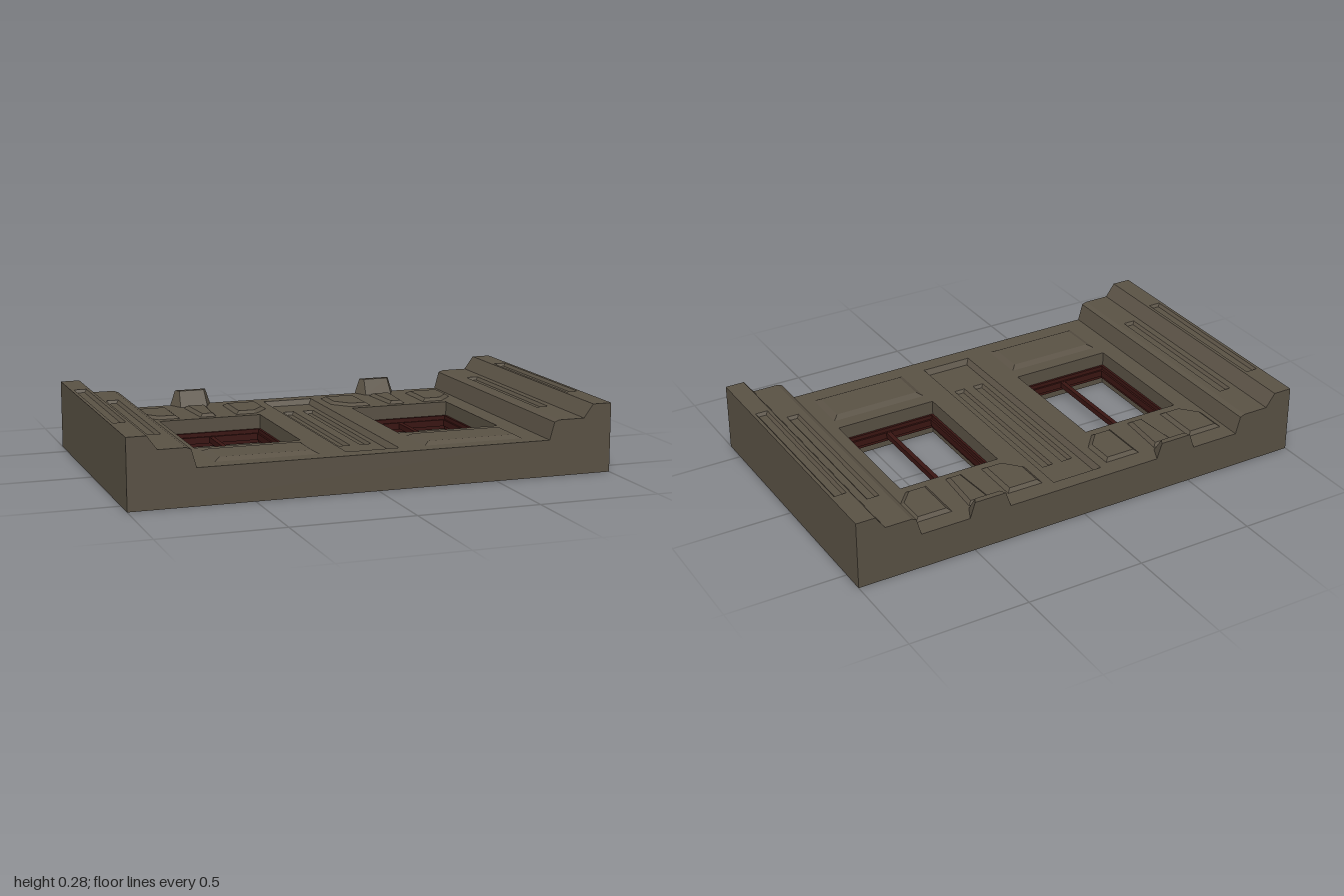
import * as THREE from 'three';

const stone = new THREE.MeshStandardMaterial({ color: 0x5a5245, flatShading: true });
const wood = new THREE.MeshStandardMaterial({ color: 0x3a1512, flatShading: true });
const FACE = 0.15; // height of the plain wall face
const END = 0.6; // half length in z

// Plan outlines are [x, z] points, counter-clockwise seen from above.
const rect = (x0, x1, z0, z1) => [[x0, z1], [x1, z1], [x1, z0], [x0, z0]];
const toShape = (pts, holes = []) => {
  const shape = new THREE.Shape(pts.map(([x, z]) => new THREE.Vector2(x, -z)));
  shape.holes = holes.map((h) => new THREE.Path(h.map(([x, z]) => new THREE.Vector2(x, -z))));
  return shape;
};

// Moves every edge of a convex outline inwards by d.
function inset(pts, d) {
  const n = pts.length;
  const lines = pts.map(([x, z], i) => {
    const [u, v] = pts[(i + 1) % n];
    const l = Math.hypot(u - x, v - z);
    const dx = (u - x) / l, dz = (v - z) / l;
    return { x: x + dz * d, z: z - dx * d, dx, dz };
  });
  return lines.map((b, i) => {
    const a = lines[(i + n - 1) % n];
    const t = ((b.x - a.x) * b.dz - (b.z - a.z) * b.dx) / (a.dx * b.dz - a.dz * b.dx);
    return [a.x + a.dx * t, a.z + a.dz * t];
  });
}

function quads(list) {
  const pos = [];
  for (const [a, b, c, d] of list) pos.push(...a, ...b, ...c, ...a, ...c, ...d);
  const g = new THREE.BufferGeometry();
  g.setAttribute('position', new THREE.Float32BufferAttribute(pos, 3));
  g.computeVertexNormals();
  return g;
}

export function createModel() {
  const model = new THREE.Group();
  const add = (name, geo, mat = stone) => {
    const m = new THREE.Mesh(geo, mat);
    m.name = name;
    model.add(m);
    return m;
  };
  const cap = (name, pts, holes, y) =>
    add(name, new THREE.ShapeGeometry(toShape(pts, holes)).rotateX(-Math.PI / 2).translate(0, y, 0));
  const walls = (name, a, ya, b, yb) =>
    add(name, quads(a.map(([x, z], i) => {
      const j = (i + 1) % a.length;
      return [[x, ya, z], [a[j][0], ya, a[j][1]], [b[j][0], yb, b[j][1]], [b[i][0], yb, b[i][1]]];
    })));
  // Sloped border plus flat middle: raised when y1 > y0, sunk when y1 < y0.
  const bevelPanel = (name, pts, d, y0, y1, holes = []) => {
    const inner = inset(pts, d);
    walls(name + 'Border', pts, y0, inner, y1);
    cap(name, inner, holes, y1);
  };

  // Cross-section of the wall, left edge to right edge
  const half = [[0.73, FACE], [0.75, 0.222], [0.77, 0.23], [0.88, 0.23], [0.92, 0.285], [1, 0.285], [1, 0]];
  const profile = [...half.map(([x, y]) => [-x, y]).reverse(), ...half];
  const windowHoles = [-0.43, 0.43].map((x) => rect(x - 0.22, x + 0.22, -0.275, 0.27));
  const recess = rect(-0.11, 0.11, -0.54, 0.53);
  const flute = (x) => rect(x - 0.026, x + 0.026, -0.39, 0.33);
  const flutes = [-0.96, -0.825, 0.825, 0.96].map(flute);

  // Long surfaces along z, pierced by flutes, windows and the middle recess
  for (let i = 0; i < profile.length - 1; i++) {
    const [x0, y0] = profile[i], [x1, y1] = profile[i + 1];
    if (y0 === y1) {
      const holes = y0 === FACE ? [...windowHoles, recess]
        : flutes.filter((f) => f[0][0] > x0 && f[1][0] < x1);
      cap(y0 === FACE ? 'wallFace' : 'pilasterFace', rect(x0, x1, -END, END), holes, y0);
      if (y0 !== FACE) holes.forEach((f) => bevelPanel('pilasterFlute', f, 0.01, y0, y0 - 0.012));
    } else {
      add('pilasterSide', quads([[[x0, y0, END], [x1, y1, END], [x1, y1, -END], [x0, y0, -END]]]));
    }
  }

  // End faces and underside
  const section = new THREE.Shape(profile.map(([x, y]) => new THREE.Vector2(x, y)));
  add('frontEnd', new THREE.ShapeGeometry(section).translate(0, 0, END));
  add('backEnd', new THREE.ShapeGeometry(section).rotateY(Math.PI).translate(0, 0, -END));
  const underside = toShape(rect(-1, 1, -END, END), windowHoles);
  const under = new THREE.ShapeGeometry(underside).rotateX(-Math.PI / 2);
  const order = under.index.array;
  for (let i = 0; i < order.length; i += 3) [order[i], order[i + 1]] = [order[i + 1], order[i]];
  under.computeVertexNormals();
  add('underside', under);

  // Sunk middle panel with two flutes
  const midFlutes = [-0.045, 0.045].map((x) => rect(x - 0.024, x + 0.024, -0.39, 0.33));
  bevelPanel('middlePanel', recess, 0.016, FACE, FACE - 0.022, midFlutes);
  midFlutes.forEach((f) => bevelPanel('middleFlute', f, 0.01, FACE - 0.022, FACE - 0.034));

  windowHoles.forEach((hole, k) => {
    const cx = k ? 0.43 : -0.43;
    // Window reveal, stepped frame and mullion
    walls('windowReveal', hole, FACE, hole, 0);
    for (const [border, y, depth] of [[0.01, 0.03, 0.06], [0.018, 0.045, 0.028]]) {
      const ring = toShape(hole, [inset(hole, border)]);
      add('windowFrame', new THREE.ExtrudeGeometry(ring, { depth, bevelEnabled: false })
        .rotateX(-Math.PI / 2).translate(0, y, 0), wood);
    }
    add('mullion', new THREE.BoxGeometry(0.02, 0.024, 0.53).translate(cx, 0.06, 0), wood);

    // Raised panels below and above the window
    bevelPanel('lowerPanel', rect(cx - 0.21, cx + 0.21, 0.33, 0.53), 0.024, FACE, 0.163);
    const side = [[-0.215, -0.31], [-0.125, -0.31], [-0.125, -0.52], [-0.28, -0.52], [-0.28, -0.385]];
    bevelPanel('upperSidePanel', side.map(([x, z]) => [cx + x, z]), 0.016, FACE, 0.162);
    bevelPanel('upperSidePanel', side.map(([x, z]) => [cx - x, z]).reverse(), 0.016, FACE, 0.162);
    const middle = [[-0.035, -0.305], [0.035, -0.305], [0.05, -0.52], [-0.05, -0.52]];
    bevelPanel('upperMiddlePanel', middle.map(([x, z]) => [cx + x, z]), 0.014, FACE, 0.162);

    // Wedge block at the back edge
    const at = (pts) => pts.map(([x, z]) => [cx + x, z]);
    const base = at([[-0.06, -0.535], [0.06, -0.535], [0.09, -END], [-0.09, -END]]);
    const top = at([[-0.055, -0.575], [0.055, -0.575], [0.068, -END], [-0.068, -END]]);
    walls('keystoneSides', base, FACE, top, 0.215);
    cap('keystoneTop', top, [], 0.215);
  });

  return model;
}
